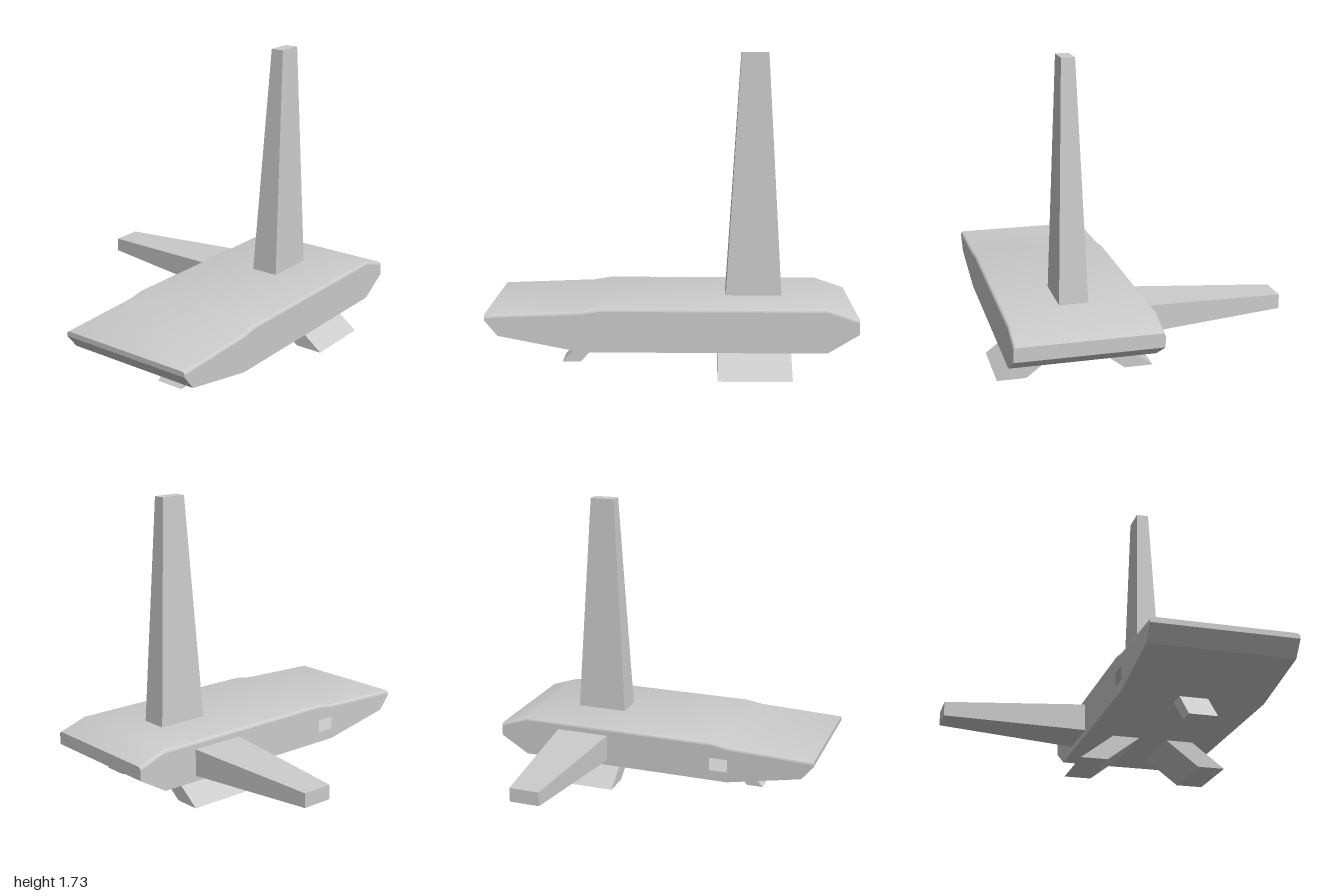
import * as THREE from 'three';
import { toCreasedNormals } from 'three/addons/utils/BufferGeometryUtils.js';

const solid = new THREE.MeshStandardMaterial({ color: 0xcccccc, flatShading: true });
const shell = new THREE.MeshStandardMaterial({ color: 0xcccccc, side: THREE.DoubleSide });

// Six-sided block between two rectangles [x0, x1, z0, z1] at heights y0 and y1
function taperedBlock(bottom, top, y0, y1) {
  const geo = new THREE.BoxGeometry(1, 1, 1);
  const p = geo.attributes.position;
  for (let i = 0; i < p.count; i++) {
    const r = p.getY(i) > 0 ? top : bottom;
    p.setXYZ(i, p.getX(i) > 0 ? r[1] : r[0], p.getY(i) > 0 ? y1 : y0, p.getZ(i) > 0 ? r[3] : r[2]);
  }
  geo.computeVertexNormals();
  return geo;
}

// Side profile of the hull: underside and ends, then the upper line
const lower = [[-1, 0.32], [-0.93, 0.235], [-0.48, 0.147], [0.83, 0.147], [1, 0.25]];
const upper = [[1, 0.33], [0.83, 0.387], [-0.38, 0.387], [-0.48, 0.37], [-1, 0.35]];
const profile = (drop) => [...lower, ...upper.map(([x, y]) => [x, y - drop])];
const BACK = -0.01, FRONT = 0.8, ROUND = 0.018;

// Hull skin: the profile swept along z, with softly rounded upper edges
function hullSkin() {
  const rings = [];
  const steps = 4;
  for (let i = 0; i <= steps; i++) {
    const a = (i / steps) * Math.PI / 2;
    rings.push([BACK + ROUND * (1 - Math.cos(a)), ROUND * (1 - Math.sin(a))]);
  }
  for (let i = steps; i >= 0; i--) rings.push([BACK + FRONT - rings[i][0], rings[i][1]]);
  const pos = [], index = [], n = lower.length + upper.length;
  for (const [z, drop] of rings) for (const [x, y] of profile(drop)) pos.push(x, y, z);
  for (let r = 0; r < rings.length - 1; r++) {
    for (let i = 0; i < n; i++) {
      const a = r * n + i, b = r * n + (i + 1) % n;
      index.push(a, b, b + n, a, b + n, a + n);
    }
  }
  const geo = new THREE.BufferGeometry();
  geo.setAttribute('position', new THREE.Float32BufferAttribute(pos, 3));
  geo.setIndex(index);
  return toCreasedNormals(geo, Math.PI / 6);
}

// Flat side wall of the hull, optionally with a small square opening
function hullWall(opening) {
  const shape = new THREE.Shape(profile(ROUND).map(([x, y]) => new THREE.Vector2(x, y)));
  if (opening) {
    const [x0, x1, y0, y1] = opening;
    shape.holes.push(new THREE.Path([[x0, y0], [x0, y1], [x1, y1], [x1, y0]]
      .map(([x, y]) => new THREE.Vector2(x, y))));
  }
  return new THREE.ShapeGeometry(shape);
}

export function createModel() {
  const model = new THREE.Group();
  const add = (name, geo, material = solid, parent = model) => {
    const mesh = new THREE.Mesh(geo, material);
    mesh.name = name;
    parent.add(mesh);
    return mesh;
  };

  // Hollow hull
  const hull = new THREE.Group();
  hull.name = 'hull';
  model.add(hull);
  add('hullSkin', hullSkin(), shell, hull);
  add('frontWall', hullWall(), shell, hull).position.z = FRONT;
  // Back wall is turned to face outwards, so its outline is mirrored first
  const back = hullWall([-0.48, -0.37, 0.21, 0.29]);
  back.scale(-1, 1, 1);
  back.setIndex(Array.from(back.index.array).reverse());
  back.rotateY(Math.PI);
  back.translate(0, 0, BACK);
  add('backWall', back, shell, hull);

  // Tall tapered mast
  add('mast', taperedBlock([0.295, 0.605, 0.313, 0.477], [0.375, 0.525, 0.357, 0.433], 0.385, 1.73));

  // Tapered wing reaching backwards, built upright and laid down
  const wing = taperedBlock([0.287, 0.613, 0.18, 0.34], [0.36, 0.54, 0.22, 0.303], 0.01, 0.835);
  wing.rotateX(-Math.PI / 2);
  add('wing', wing);

  // Single leg slanting out at one end
  add('slantedLeg', taperedBlock([-0.62, -0.52, 0.315, 0.477], [-0.48, -0.38, 0.315, 0.477], 0, 0.147));

  // Pair of wide legs splayed to the front and back
  const mid = 0.395;
  for (const [name, s] of [['frontSplayedLeg', 1], ['backSplayedLeg', -1]]) {
    const range = (a, b) => [0.247, 0.647, ...[mid + s * a, mid + s * b].sort((p, q) => p - q)];
    add(name, taperedBlock(range(0.278, 0.44), range(0.083, 0.245), 0, 0.147));
  }

  return model;
}
